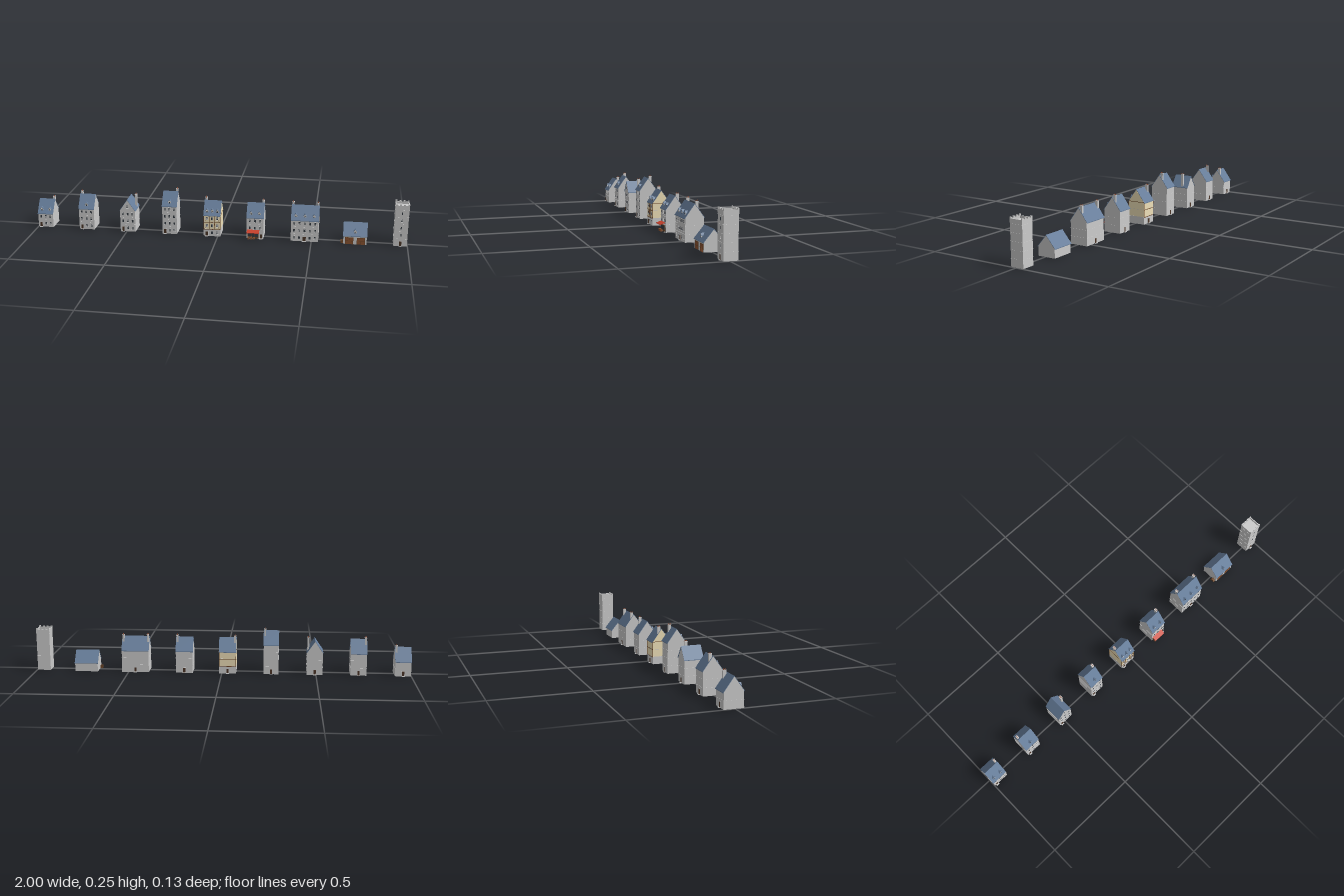
import * as THREE from 'three';

const mat = (color, side = THREE.FrontSide) => new THREE.MeshStandardMaterial({ color, side, flatShading: true });
const STONE = mat(0xcccccc), SLATE = mat(0x667d9a), CREAM = mat(0xeee0b8), TIMBER = mat(0x6b4526),
  DOOR = mat(0x4a3426), GLASS = mat(0x333a42), RED = mat(0xc8402c), POT = mat(0x9a5238), BARN = mat(0x8a5230);
const FLOOR = 0.04, ZC = -0.007, HALF = 0.048;

function add(parent, name, geo, material, x = 0, y = 0, z = 0) {
  const m = new THREE.Mesh(geo, material);
  m.name = name;
  m.position.set(x, y, z);
  parent.add(m);
  return m;
}
const box = (parent, name, w, h, d, material, x, y, z) =>
  add(parent, name, new THREE.BoxGeometry(w, h, d), material, x, y, z);

function group(parent, name, x = 0, y = 0, z = 0) {
  const g = new THREE.Group();
  g.name = name;
  g.position.set(x, y, z);
  parent.add(g);
  return g;
}

// Outline extruded along z and centred, or along x when alongX is set
function prism(points, length, alongX) {
  const geo = new THREE.ExtrudeGeometry(new THREE.Shape(points.map(p => new THREE.Vector2(...p))),
    { depth: length, bevelEnabled: false });
  geo.translate(0, 0, -length / 2);
  return alongX ? geo.rotateY(Math.PI / 2) : geo;
}
const gable = (h, base, eave, ridge) => [[-h, base], [h, base], [h, eave], [0, ridge], [-h, eave]];

// Chevron roof slab sitting on a gable, with its eaves carried past the wall
function roofOutline(h, eave, ridge, over, t) {
  const drop = over * (ridge - eave) / h, e = eave - drop, o = h + over;
  return [[-o, e], [0, ridge], [o, e], [o, e + t], [0, ridge + t], [-o, e + t]];
}

// Framed window with glazing bars and a sill, facing +z
function windowUnit(parent, x, y, z, w = 0.0085, h = 0.014) {
  const g = group(parent, 'window', x, y, z);
  box(g, 'windowFrame', w + 0.003, h + 0.003, 0.001, STONE, 0, 0, 0.0005);
  box(g, 'windowGlass', w, h, 0.0012, GLASS, 0, 0, 0.0007);
  box(g, 'glazingBar', 0.0008, h, 0.0016, STONE, 0, 0, 0.0008);
  box(g, 'glazingBar', w, 0.0008, 0.0016, STONE, 0, 0.001, 0.0008);
  box(g, 'windowSill', w + 0.004, 0.0013, 0.003, STONE, 0, -h / 2 - 0.001, 0.0015);
}

// Door with surround and step; dir is +1 for the front, -1 for the back
function doorUnit(parent, x, z, dir = 1, w = 0.012, h = 0.026) {
  const g = group(parent, 'door', x, 0, z);
  if (dir < 0) g.rotation.y = Math.PI;
  box(g, 'doorSurround', w + 0.004, h + 0.002, 0.001, STONE, 0, h / 2 + 0.001, 0.0005);
  box(g, 'doorLeaf', w, h, 0.0014, DOOR, 0, h / 2, 0.0008);
  box(g, 'doorStep', w + 0.005, 0.002, 0.008, STONE, 0, 0.001, 0.004);
}

function chimney(parent, x, base, top, z = -0.013) {
  const g = group(parent, 'chimney', x, 0, z);
  box(g, 'chimneyStack', 0.01, top - base, 0.015, STONE, 0, (top + base) / 2, 0);
  box(g, 'chimneyCap', 0.012, 0.002, 0.017, STONE, 0, top, 0);
  for (const s of [-1, 1])
    add(g, 'chimneyPot', new THREE.CylinderGeometry(0.0018, 0.0022, 0.006, 8), POT, 0, top + 0.004, s * 0.004);
}

function dormer(parent, x, eave) {
  const g = group(parent, 'dormer', x, eave, 0.024);
  add(g, 'dormerWalls', prism(gable(0.0075, 0.002, 0.022, 0.031), 0.032), STONE);
  add(g, 'dormerRoof', prism(roofOutline(0.0075, 0.022, 0.031, 0.002, 0.002), 0.036), SLATE);
  windowUnit(g, 0, 0.014, 0.016, 0.007, 0.011);
}

// Floor bands wrapped round the walls
function bands(g, w, d, count, z = 0) {
  for (let i = 1; i <= count; i++) box(g, 'floorBand', w + 0.002, 0.0015, d + 0.002, STONE, 0, i * FLOOR, z);
}

// opt: x, w, floors, cols, doorCol, dormers, chimneys, and optional features
function house(parent, name, o) {
  const g = group(parent, name, o.x, 0, ZC);
  const eave = o.floors * FLOOR, ridge = eave + 0.066, side = o.frontGable;
  const span = side ? o.w / 2 - 0.002 : HALF, peak = side ? 0.18 : ridge;
  const bodyW = o.w - 0.003, length = side ? HALF * 2 : bodyW;
  add(g, 'walls', prism(gable(span, 0, eave, peak), length, !side), STONE);
  add(g, 'roof', prism(roofOutline(span, eave, peak, side ? 0.002 : 0.004, 0.003),
    side ? HALF * 2 + 0.006 : o.w, !side), SLATE);
  bands(g, bodyW, HALF * 2, o.floors - 1);
  const colX = i => ((i + 0.5) / o.cols - 0.5) * (o.w - 0.008);
  for (let f = 0; f < o.floors; f++) for (let i = 0; i < o.cols; i++) {
    if (f === 0 && (i === o.doorCol || o.shop)) continue;
    windowUnit(g, colX(i), f * FLOOR + 0.021, HALF);
  }
  doorUnit(g, o.doorX ?? colX(o.doorCol), HALF, 1, o.doorW);
  doorUnit(g, 0, -HALF, -1);
  for (const dx of o.dormers || []) dormer(g, dx, eave);
  for (const s of o.chimneys)
    chimney(g, s * (o.w / 2 - 0.008), side ? eave : eave + 0.03, (side ? 0.196 : ridge + 0.012));
  return g;
}

// Timber framing and plaster over the upper floors
function timberFrame(g, w) {
  const h = 2 * FLOOR, top = 3 * FLOOR;
  box(g, 'plaster', w - 0.001, h - 0.002, HALF * 2 + 0.0008, CREAM, 0, FLOOR + h / 2, 0);
  add(g, 'gablePlaster', prism([[-HALF, top - 0.001], [HALF, top - 0.001], [0, top + 0.065]], w - 0.001, true), CREAM);
  for (const s of [-1, 1]) {
    const z = s * (HALF + 0.0006);
    for (let i = 0; i < 3; i++) box(g, 'timberRail', w, 0.003, 0.002, TIMBER, 0, FLOOR * (i + 1) - 0.001, z);
    for (const px of s > 0 ? [-0.5, -0.17, 0.17, 0.5] : [-0.5, 0.5])
      box(g, 'timberPost', 0.0025, h, 0.002, TIMBER, px * (w - 0.003), FLOOR + h / 2, z);
    box(g, 'gableRail', 0.002, 0.0025, HALF * 2, TIMBER, s * (w / 2 - 0.0008), top, 0);
  }
  for (let f = 1; f < 3; f++) for (const s of [-1, 1])
    box(g, 'timberBrace', 0.0018, 0.014, 0.0018, TIMBER, s * 0.037, f * FLOOR + 0.008, HALF + 0.0006)
      .rotation.z = s * 0.45;
}

// Shop window, sloping awning and goods crates
function shopFront(g) {
  box(g, 'shopFascia', 0.06, 0.032, 0.003, TIMBER, -0.009, 0.018, HALF);
  for (let i = 0; i < 3; i++) box(g, 'shopGlass', 0.016, 0.02, 0.001, GLASS, -0.028 + i * 0.019, 0.02, HALF + 0.0017);
  add(g, 'awning', prism([[0, 0.046], [-0.026, 0.038], [-0.026, 0.041], [0, 0.05]], 0.066, true),
    RED, -0.009, 0, HALF);
  for (const x of [-0.032, -0.018, -0.004])
    box(g, 'crate', 0.01, 0.012, 0.01, BARN, x, 0.006, HALF + 0.011);
}

function barn(parent) {
  const g = group(parent, 'barn', 0.728, 0, ZC), w = 0.122, eave = 0.048, ridge = 0.105;
  add(g, 'walls', prism(gable(HALF, 0, eave, ridge), w, true), STONE);
  add(g, 'roof', prism(roofOutline(HALF, eave, ridge, 0.004, 0.003), w + 0.004, true), SLATE);
  dormer(g, 0, eave);
  for (const x of [-0.03, 0.031]) {
    box(g, 'barnDoorFrame', 0.043, 0.038, 0.0016, TIMBER, x, 0.019, HALF);
    for (const s of [-1, 1]) {
      box(g, 'barnDoorLeaf', 0.0185, 0.035, 0.003, BARN, x + s * 0.0098, 0.0175, HALF);
      box(g, 'barnDoorBrace', 0.0185, 0.002, 0.004, TIMBER, x + s * 0.0098, 0.018, HALF);
    }
  }
  // Stacked firewood against the end wall
  for (let r = 0; r < 3; r++) for (let i = 0; i < 4 - r; i++)
    add(g, 'log', new THREE.CylinderGeometry(0.003, 0.003, 0.014, 8).rotateZ(Math.PI / 2), TIMBER,
      -w / 2 - 0.007, 0.003 + r * 0.0052, 0.022 + (i + r / 2) * 0.006);
}

function tower(parent) {
  const w = 0.072, top = 0.224, g = group(parent, 'tower', 0.962, 0, -0.005);
  box(g, 'towerWalls', w - 0.002, 0.212, w - 0.002, STONE, 0, 0.106, 0);
  bands(g, w - 0.002, w - 0.002, 5);
  for (const s of [-1, 1]) {
    box(g, 'parapet', w, 0.02, 0.005, STONE, 0, top - 0.01, s * (w / 2 - 0.0025));
    box(g, 'parapet', 0.005, 0.02, w - 0.01, STONE, s * (w / 2 - 0.0025), top - 0.01, 0);
    for (let i = 0; i < 4; i++)
      box(g, 'merlon', 0.009, 0.007, 0.006, STONE, (i / 3 - 0.5) * (w - 0.009), top + 0.0035, s * (w / 2 - 0.003));
  }
  for (let f = 1; f < 5; f++) windowUnit(g, 0, f * FLOOR + 0.022, w / 2 - 0.001, 0.006, 0.014);
  doorUnit(g, 0, w / 2 - 0.001);
}

export function createModel() {
  const root = new THREE.Group();
  root.name = 'townBuildings';
  house(root, 'cottage', { x: -0.9565, w: 0.087, floors: 2, cols: 3, doorCol: 0, dormers: [-0.022, 0.022], chimneys: [1] });
  house(root, 'townhouse', { x: -0.7235, w: 0.087, floors: 3, cols: 3, doorCol: 0, dormers: [0], chimneys: [-1] });
  const gabled = house(root, 'gabledHouse', { x: -0.493, w: 0.087, floors: 3, cols: 3, doorCol: 0, frontGable: true, chimneys: [1] });
  windowUnit(gabled, 0, 0.142, HALF);
  house(root, 'tallHouse', { x: -0.262, w: 0.082, floors: 4, cols: 3, doorCol: 0, dormers: [0], chimneys: [1] });

  const inn = house(root, 'timberedHouse', { x: -0.031, w: 0.093, floors: 3, cols: 3, doorCol: 0, dormers: [-0.028, 0, 0.028], chimneys: [-1] });
  timberFrame(inn, 0.093);
  box(inn, 'signBracket', 0.0015, 0.0015, 0.015, DOOR, 0.015, 0.079, HALF + 0.007);
  box(inn, 'signBoard', 0.0015, 0.011, 0.009, TIMBER, 0.015, 0.072, HALF + 0.009);

  shopFront(house(root, 'shop', { x: 0.2, w: 0.093, floors: 3, cols: 3, shop: true, doorX: 0.033, dormers: [-0.022, 0.022], chimneys: [1] }));
  house(root, 'wideHouse', { x: 0.463, w: 0.147, floors: 3, cols: 5, doorCol: 2, doorW: 0.016, dormers: [-0.048, 0, 0.048], chimneys: [-1, 1] });
  barn(root);
  tower(root);
  return root;
}
